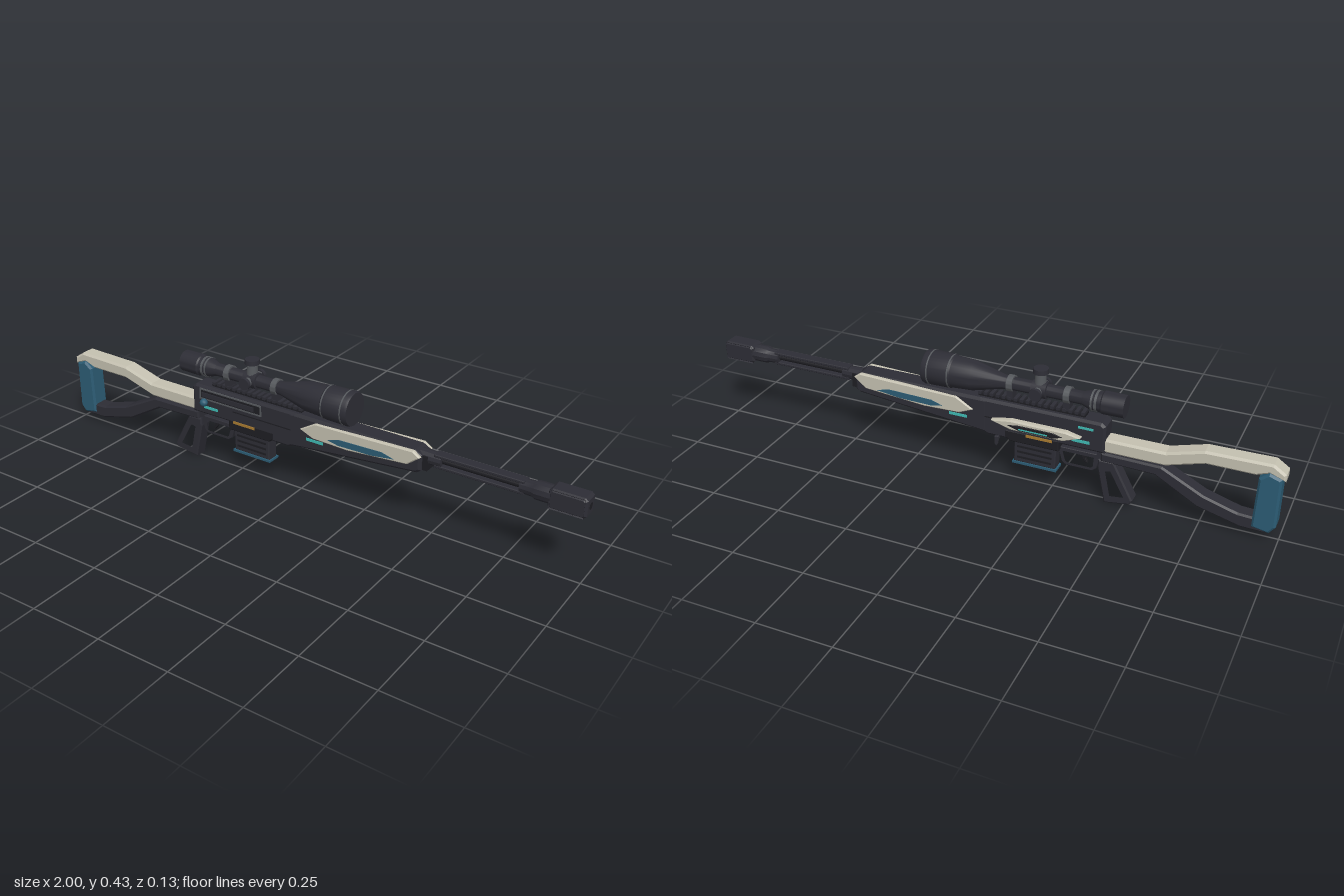
import * as THREE from 'three';
import { toCreasedNormals } from 'three/addons/utils/BufferGeometryUtils.js';

const paint = (name, color) => {
  const m = new THREE.MeshStandardMaterial({ color });
  m.name = name;
  return m;
};

export function createModel() {
  const dark = paint('charcoal', 0x2d2d35);
  const black = paint('black', 0x1e1e23);
  const cream = paint('cream', 0xc4c0b0);
  const teal = paint('teal', 0x2c5c74);
  const cyan = paint('cyan', 0x3fb9b2);
  const amber = paint('amber', 0xa87a30);
  const gray = paint('gray', 0x55585c);

  const model = new THREE.Group();
  model.name = 'rifle';
  const rifle = new THREE.Group();
  rifle.name = 'rifleBody';
  rifle.position.z = -0.003;
  model.add(rifle);

  const add = (name, geo, mat, x = 0, y = 0, z = 0) => {
    const mesh = new THREE.Mesh(geo, mat);
    mesh.name = name;
    mesh.position.set(x, y, z);
    rifle.add(mesh);
    return mesh;
  };
  const box = (name, mat, x, y, z, w, h, d) =>
    add(name, new THREE.BoxGeometry(w, h, d), mat, x, y, z);
  const vec = (pts) => pts.map(([x, y]) => new THREE.Vector2(x, y));

  // side outline with chamfered edges, centred on z
  const slab = (name, mat, pts, half, bevel = 0.006, holes = [], z = 0) => {
    const shape = new THREE.Shape(vec(pts));
    holes.forEach((h) => shape.holes.push(new THREE.Path(vec(h))));
    const geo = new THREE.ExtrudeGeometry(shape, {
      depth: 2 * (half - bevel), bevelEnabled: bevel > 0, bevelSegments: 1,
      bevelThickness: bevel, bevelSize: bevel, bevelOffset: -bevel,
    });
    geo.translate(0, 0, bevel - half);
    return add(name, geo, mat, 0, 0, z);
  };
  // turned part along x; profile is [x, radius]
  const turned = (name, mat, profile, y, sides = 32) => {
    const pts = profile.map(([x, r]) => new THREE.Vector2(r, x));
    const geo = new THREE.LatheGeometry(pts, sides).rotateZ(-Math.PI / 2);
    return add(name, toCreasedNormals(geo, 0.45), mat, 0, y, 0);
  };
  const rect = (x0, y0, x1, y1) => [[x0, y0], [x1, y0], [x1, y1], [x0, y1]];

  // skeleton stock
  slab('upperStock', cream, [[-1, 0.225], [-1, 0.25], [-0.96, 0.277], [-0.75, 0.273],
    [-0.63, 0.238], [-0.42, 0.238], [-0.42, 0.19], [-0.63, 0.19], [-0.755, 0.228],
    [-0.91, 0.228], [-0.95, 0.243]], 0.029, 0.007);
  slab('buttPad', teal, [[-0.99, 0.232], [-0.95, 0.246], [-0.92, 0.222],
    [-0.915, 0.045], [-0.97, 0.035], [-0.99, 0.06]], 0.033, 0.007);
  slab('lowerStock', dark, [[-0.98, 0.05], [-0.955, 0.03], [-0.88, 0.032], [-0.74, 0.068],
    [-0.6, 0.148], [-0.42, 0.153], [-0.42, 0.186], [-0.62, 0.183], [-0.76, 0.112],
    [-0.87, 0.08], [-0.95, 0.076]], 0.027, 0.006);

  // open loop grip
  slab('grip', dark, [[-0.465, 0.158], [-0.412, 0.158], [-0.41, 0.13], [-0.438, 0.001],
    [-0.525, 0.014], [-0.533, 0.03]], 0.025, 0.005,
  [[[-0.458, 0.13], [-0.432, 0.124], [-0.453, 0.026], [-0.51, 0.034]]]);

  // trigger group
  slab('triggerGuard', dark, [[-0.42, 0.168], [-0.27, 0.168], [-0.285, 0.115],
    [-0.3, 0.104], [-0.39, 0.104], [-0.403, 0.115]], 0.014, 0.002,
  [[[-0.397, 0.156], [-0.285, 0.156], [-0.296, 0.118], [-0.304, 0.113], [-0.386, 0.113], [-0.394, 0.119]]]);
  slab('trigger', black, [[-0.372, 0.16], [-0.35, 0.16], [-0.352, 0.14], [-0.366, 0.122],
    [-0.371, 0.125], [-0.362, 0.143]], 0.006, 0.001);
  box('guardPost', dark, -0.415, 0.178, 0, 0.02, 0.04, 0.03);

  // receiver
  slab('receiver', dark, [[-0.435, 0.188], [-0.275, 0.188], [-0.265, 0.165], [-0.03, 0.165],
    [0, 0.18], [0, 0.296], [-0.42, 0.296], [-0.435, 0.285]], 0.036, 0.008);
  slab('magazineWell', black, [[-0.28, 0.16], [-0.11, 0.16], [-0.09, 0.175],
    [-0.09, 0.2], [-0.28, 0.2]], 0.037, 0.004);
  box('boltSlot', black, -0.27, 0.267, 0.036, 0.26, 0.036, 0.004);
  slab('boltSlotFrame', gray, rect(-0.4, 0.247, -0.14, 0.287), 0.003, 0,
    [rect(-0.395, 0.252, -0.145, 0.282)], 0.037);
  box('bolt', dark, -0.28, 0.265, 0.038, 0.22, 0.016, 0.006);
  const handle = add('boltStem', new THREE.CylinderGeometry(0.005, 0.006, 0.03, 10), dark, -0.37, 0.246, 0.044);
  handle.rotation.x = Math.PI / 2;
  add('boltKnob', new THREE.SphereGeometry(0.0145, 8, 6), teal, -0.37, 0.245, 0.0555);

  // accent plates on both flanks
  for (const s of [1, -1]) {
    box('rearAccent', cyan, -0.355, 0.218, s * 0.036, 0.06, 0.01, 0.004);
    box('amberAccent', amber, -0.213, 0.193, s * 0.037, 0.09, 0.009, 0.004);
    box('frontAccent', cyan, 0.075, 0.218, s * 0.036, 0.065, 0.01, 0.006);
    box('seamLine', black, -0.14, 0.232, s * 0.036, 0.24, 0.004, 0.002);
  }

  // right side cheek panel with trim
  slab('sidePanel', cream, [[-0.36, 0.238], [-0.3, 0.214], [-0.12, 0.214], [-0.05, 0.236],
    [-0.12, 0.25], [-0.31, 0.25]], 0.012, 0.005, [], -0.046);
  slab('sidePanelInset', black, [[-0.3, 0.23], [-0.27, 0.22], [-0.15, 0.22], [-0.11, 0.232],
    [-0.15, 0.238], [-0.27, 0.238]], 0.003, 0.001, [], -0.058);
  box('sidePanelAccent', cyan, -0.2, 0.226, -0.0605, 0.1, 0.005, 0.002);
  box('upperSideAccent', cyan, -0.37, 0.268, -0.036, 0.05, 0.008, 0.004);
  slab('releaseLever', dark, [[-0.075, 0.172], [-0.06, 0.172], [-0.06, 0.145],
    [-0.066, 0.136], [-0.072, 0.145]], 0.004, 0.001, [], -0.042);
  box('leverPivot', dark, -0.067, 0.165, -0.036, 0.012, 0.012, 0.016);

  // magazine
  slab('magazine', dark, [[-0.268, 0.17], [-0.12, 0.17], [-0.12, 0.08], [-0.265, 0.08]], 0.023, 0.004);
  for (let i = 0; i < 3; i++)
    box('magazineRib', black, -0.193, 0.1 + i * 0.02, 0, 0.12, 0.007, 0.05);
  box('magazineBase', teal, -0.193, 0.077, 0, 0.155, 0.008, 0.05);

  // forend and its armour panels
  slab('forend', dark, [[-0.03, 0.17], [0.02, 0.175], [0.45, 0.217], [0.465, 0.228],
    [0.465, 0.28], [0.44, 0.294], [-0.03, 0.296]], 0.037, 0.009);
  box('forendCollar', black, 0.47, 0.254, 0, 0.025, 0.05, 0.05);
  for (const s of [1, -1]) {
    slab('forendPanel', cream, [[0.02, 0.25], [0.08, 0.286], [0.3, 0.291], [0.44, 0.295],
      [0.465, 0.277], [0.42, 0.242], [0.2, 0.224], [0.07, 0.228]], 0.008, 0.004, [], s * 0.036);
    slab('forendInset', teal, [[0.13, 0.242], [0.17, 0.255], [0.33, 0.259], [0.375, 0.247],
      [0.29, 0.236], [0.17, 0.234]], 0.002, 0, [], s * 0.0435);
  }

  // barrel between slotted top and bottom strips
  const by = 0.268;
  turned('barrel', black, [[0.44, 0], [0.44, 0.01], [0.83, 0.01], [0.83, 0]], by, 16);
  turned('barrelRoot', dark, [[0.45, 0], [0.45, 0.025], [0.525, 0.022], [0.525, 0]], by, 12);
  for (const s of [1, -1])
    slab('barrelStrip', dark, rect(0.5, by + s * 0.018 - 0.005, 0.8, by + s * 0.018 + 0.005), 0.018, 0.002);
  turned('barrelCollar', dark, [[0.785, 0], [0.785, 0.023], [0.825, 0.025], [0.835, 0.03],
    [0.89, 0.03], [0.89, 0]], by, 12);

  // ported muzzle brake
  slab('muzzleBrake', dark, [[0.88, 0.242], [0.89, 0.234], [0.99, 0.234], [1, 0.242],
    [1, 0.294], [0.99, 0.302], [0.89, 0.302], [0.88, 0.294]], 0.032, 0.008,
  [0, 1, 2].map((i) => rect(0.893 + i * 0.033, 0.244, 0.919 + i * 0.033, 0.292)));
  const bore = add('bore', new THREE.CircleGeometry(0.012, 20), black, 1.0004, by, 0);
  bore.rotation.y = Math.PI / 2;

  // toothed top rail
  box('railBase', black, -0.175, 0.298, 0, 0.37, 0.012, 0.036);
  for (let i = 0; i < 18; i++)
    box('railTooth', dark, -0.352 + i * 0.021, 0.307, 0, 0.012, 0.01, 0.04);

  // telescopic sight
  const sy = 0.355;
  turned('scopeTube', dark, [[-0.487, 0], [-0.487, 0.037], [-0.415, 0.038], [-0.41, 0.034],
    [-0.375, 0.033], [-0.345, 0.022], [-0.12, 0.022], [-0.075, 0.024], [0.03, 0.05],
    [0.1, 0.054], [0.105, 0.057], [0.195, 0.059], [0.203, 0.056], [0.203, 0]], sy, 32);
  for (const [x, r, w] of [[-0.398, 0.0355, 0.008], [-0.383, 0.035, 0.006], [0.105, 0.0575, 0.005], [0.178, 0.0595, 0.005]])
    turned('scopeBand', gray, [[x, 0], [x, r], [x + w, r], [x + w, 0]], sy);
  for (const x of [-0.295, -0.1]) {
    turned('scopeRing', gray, [[x - 0.01, 0], [x - 0.01, 0.028], [x + 0.01, 0.028], [x + 0.01, 0]], sy);
    box('scopeMount', dark, x, 0.32, 0, 0.022, 0.036, 0.034);
  }
  turned('turretHub', dark, [[-0.232, 0], [-0.225, 0.029], [-0.175, 0.029], [-0.168, 0]], sy, 16);
  add('turretNeck', new THREE.CylinderGeometry(0.017, 0.02, 0.05, 20), gray, -0.2, 0.395, 0);
  add('turretCap', new THREE.CylinderGeometry(0.025, 0.026, 0.016, 20), dark, -0.2, 0.422, 0);
  for (const s of [1, -1]) {
    const neck = add('sideTurret', new THREE.CylinderGeometry(0.016, 0.016, 0.03, 20), gray, -0.2, sy, s * 0.03);
    const cap = add('sideTurretCap', new THREE.CylinderGeometry(0.021, 0.021, 0.012, 20), dark, -0.2, sy, s * 0.045);
    neck.rotation.x = cap.rotation.x = Math.PI / 2;
  }

  return model;
}
